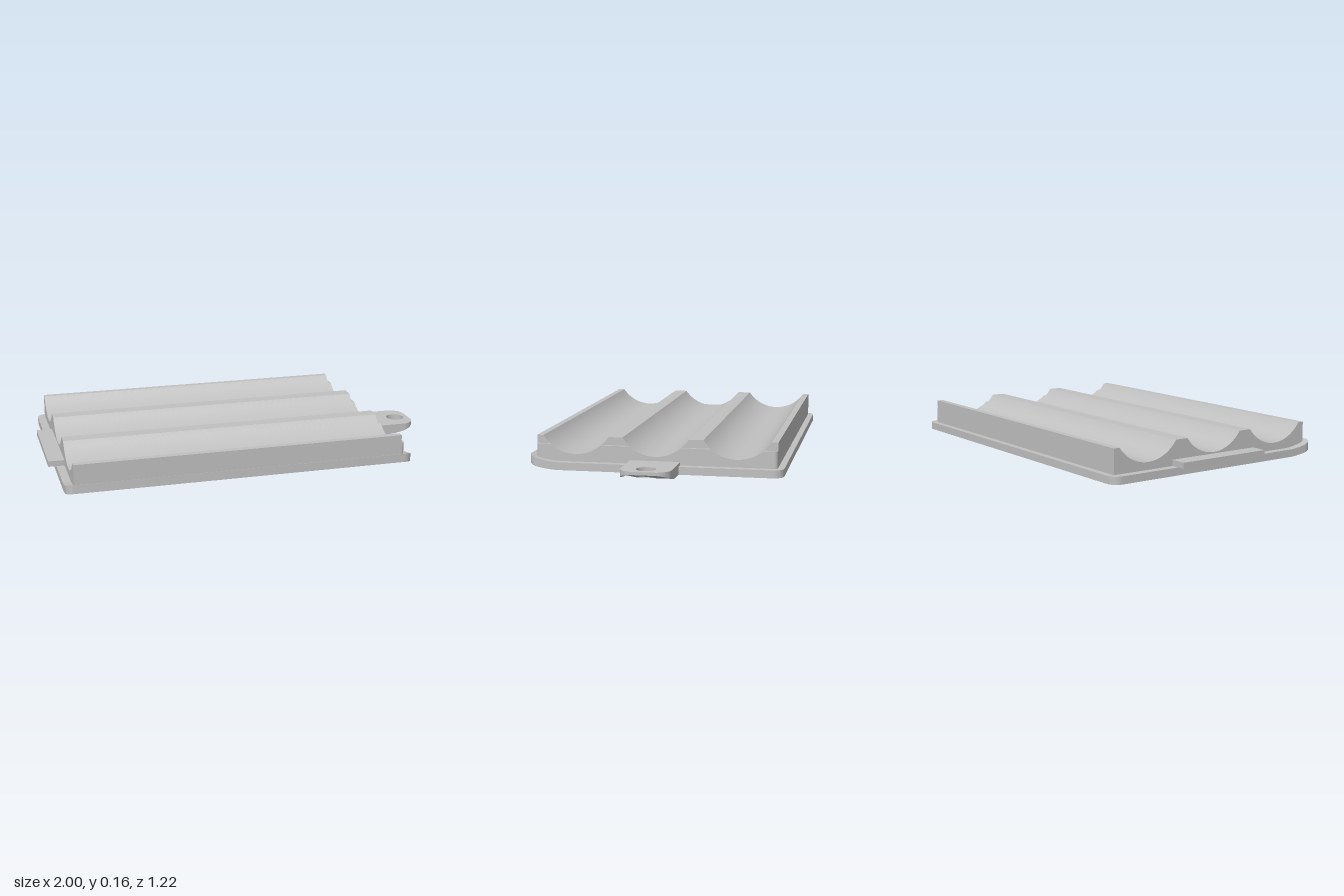
import * as THREE from 'three';
import { toCreasedNormals } from 'three/addons/utils/BufferGeometryUtils.js';

const BED_TOP = 0.157, RIM_TOP = 0.118, BED_BOTTOM = 0.03;
const CHANNEL_Y = 0.267, CHANNEL_R = 0.194, CHANNELS = [0.387, 0, -0.387];

// Block with three round channels, running along x from x0 to x1
function channelBlock(halfWidth, top, x0, x1) {
  const dy = top - CHANNEL_Y, h = Math.sqrt(CHANNEL_R ** 2 - dy ** 2);
  const a = Math.atan2(dy, h);
  const s = new THREE.Shape();
  s.moveTo(-halfWidth, BED_BOTTOM);
  s.lineTo(halfWidth, BED_BOTTOM);
  s.lineTo(halfWidth, top);
  for (const c of CHANNELS) {
    s.lineTo(c + h, top);
    s.absarc(c, CHANNEL_Y, CHANNEL_R, a, -Math.PI - a, true);
  }
  s.lineTo(-halfWidth, top);
  s.closePath();
  const g = new THREE.ExtrudeGeometry(s, { depth: x1 - x0, bevelEnabled: false, curveSegments: 32 });
  g.rotateY(Math.PI / 2).translate(x0, 0, 0);
  return toCreasedNormals(g, 0.4);
}

// Rounded plate lofted along z, sweeping upward near the +z edge
function basePlate() {
  const x0 = -0.96, x1 = 0.775, zEnd = 0.608, r = 0.05;
  const zs = [];
  for (let i = 0; i <= 8; i++) zs.push(-zEnd + r * (1 - Math.cos((i / 8) * Math.PI / 2)));
  for (let i = 0; i <= 8; i++) zs.push(0.45 + (zEnd - r - 0.45) * (i / 8));
  for (let i = 1; i <= 8; i++) zs.push(zEnd - r + r * Math.sin((i / 8) * Math.PI / 2));
  const rows = zs.map((z) => {
    const d = Math.max(0, Math.abs(z) - (zEnd - r));
    const inset = r - Math.sqrt(Math.max(0, r * r - d * d));
    const t = Math.max(0, (z - 0.45) / (zEnd - 0.45)) ** 2;
    const low = 0.025 * t, high = 0.037 + 0.031 * t;
    return [[x0 + inset, low, z], [x1 - inset, low, z], [x1 - inset, high, z], [x0 + inset, high, z]];
  });
  const pos = [];
  const quad = (a, b, c, d) => pos.push(...a, ...b, ...c, ...a, ...c, ...d);
  for (let i = 0; i < rows.length - 1; i++) {
    const p = rows[i], q = rows[i + 1];
    for (let k = 0; k < 4; k++) {
      const n = (k + 1) % 4;
      quad(p[k], p[n], q[n], q[k]);
    }
  }
  const first = rows[0], last = rows[rows.length - 1];
  quad(first[3], first[2], first[1], first[0]);
  quad(last[0], last[1], last[2], last[3]);
  const g = new THREE.BufferGeometry();
  g.setAttribute('position', new THREE.Float32BufferAttribute(pos, 3));
  return toCreasedNormals(g, 0.6);
}

// Pull tab with a hole and an underside that curves up to the tip
function pullTab() {
  const w = 0.12, r = 0.07, tip = 0.998, start = 0.735, n = 8;
  const s = new THREE.Shape();
  s.moveTo(start, -w);
  for (let i = 0; i <= n; i++) s.lineTo(0.83 + (tip - r - 0.83) * (i / n), -w);
  s.absarc(tip - r, -w + r, r, -Math.PI / 2, 0, false);
  s.absarc(tip - r, w - r, r, 0, Math.PI / 2, false);
  for (let i = n - 1; i >= 0; i--) s.lineTo(0.83 + (tip - r - 0.83) * (i / n), w);
  s.lineTo(start, w);
  s.closePath();
  const hole = new THREE.Path();
  hole.absarc(0.927, 0, 0.046, 0, Math.PI * 2, true);
  s.holes.push(hole);
  const g = new THREE.ExtrudeGeometry(s, { depth: 0.053, bevelEnabled: false, curveSegments: 12 });
  g.rotateX(-Math.PI / 2);
  const p = g.attributes.position;
  for (let i = 0; i < p.count; i++) {
    if (p.getY(i) > 0.01) continue;
    p.setY(i, 0.038 * Math.max(0, (p.getX(i) - 0.83) / (tip - 0.83)) ** 2);
  }
  return toCreasedNormals(g, 0.6);
}

export function createModel() {
  const model = new THREE.Group();
  model.name = 'batteryCover';
  const grey = new THREE.MeshStandardMaterial({ color: 0xc0c0c0 });
  grey.name = 'light grey plastic';
  const add = (name, geometry, x = 0, y = 0, z = 0) => {
    const mesh = new THREE.Mesh(geometry, grey);
    mesh.name = name;
    mesh.position.set(x, y, z);
    model.add(mesh);
  };

  add('basePlate', basePlate());
  add('channelBed', channelBlock(0.578, BED_TOP, -0.92, 0.72));

  // Lower step at the tab end, with rounded outer corners
  const round = 0.017, rimHeight = RIM_TOP - BED_BOTTOM;
  add('endRim', channelBlock(0.578 - round, RIM_TOP, 0.71, 0.72 + round));
  for (const side of [1, -1]) {
    add('rimCorner', new THREE.CylinderGeometry(round, round, rimHeight, 24),
      0.72, BED_BOTTOM + rimHeight / 2, side * (0.578 - round));
  }

  add('pullTab', pullTab());
  add('hookTab', new THREE.BoxGeometry(0.1, 0.028, 0.496), -0.95, 0.052, 0);
  return model;
}
